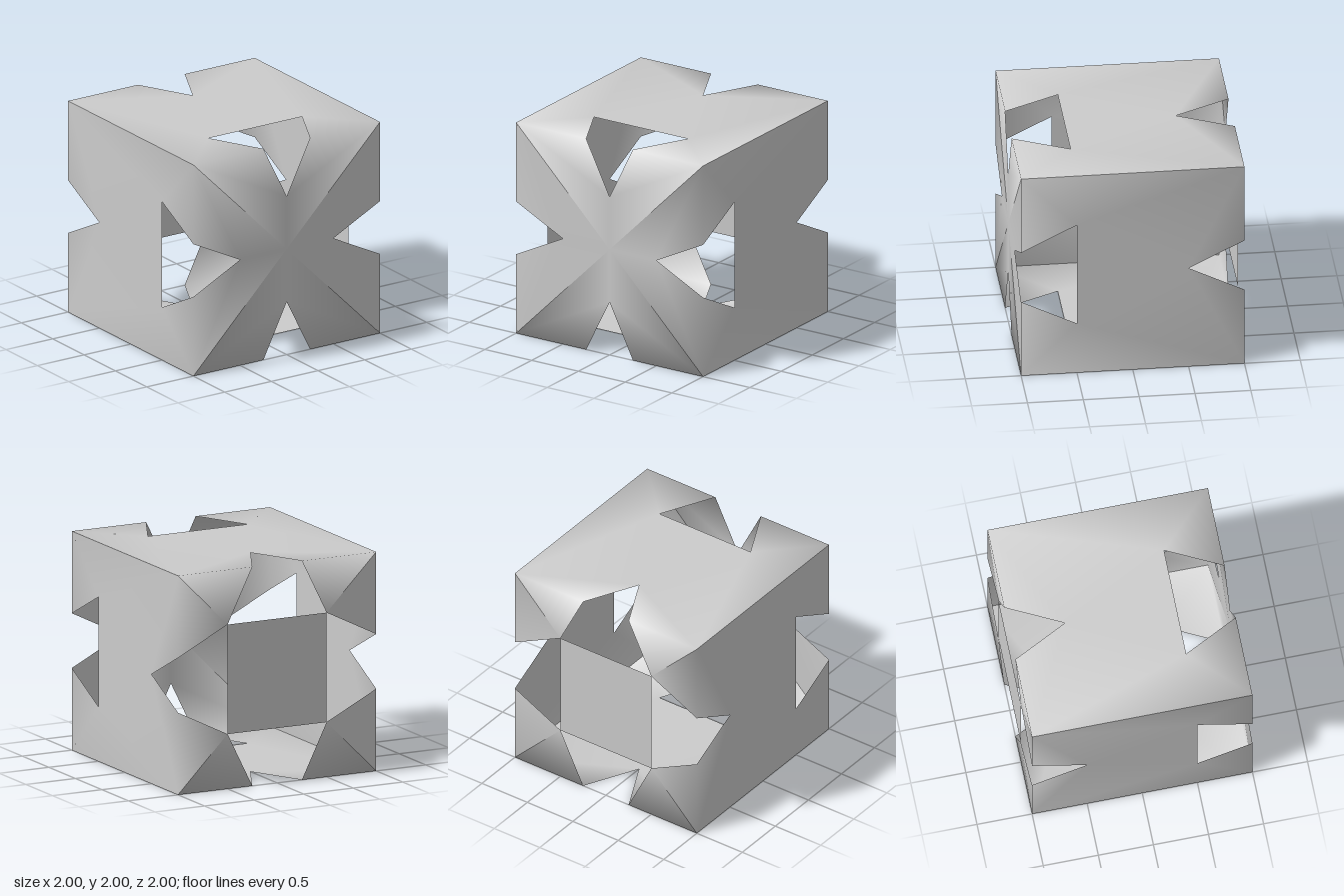
import * as THREE from 'three';

// One smooth panel: front triangle with a V notch, flat top, and two back flaps.
function panelGeometry() {
  // Points on the mirror plane: front centre, front notch tip, rear notch tip
  const points = [[0, 0, 1], [0, 0.5, 1], [0, 1, -0.5]];
  // Points of one half, mirrored in x
  const half = [
    [1, 1, 1],      // K front corner
    [0.25, 1, 1],   // N front notch edge
    [0.5, 1, 0.5],  // H top hole corner
    [1, 1, -1],     // B back corner
    [0.25, 1, -1],  // M back notch edge
    [0.5, 0.5, -1], // P back flap tip
  ];
  const index = [];
  for (const s of [1, -1]) {
    const [K, N, H, B, M, P] = half.map(([x, y, z]) => points.push([s * x, y, z]) - 1);
    const faces = [
      [0, K, 1], [1, K, N],                       // front
      [N, K, H], [K, B, H], [H, B, 2], [2, B, M], // top
      [B, P, M],                                  // back flap
    ];
    for (const [a, b, c] of faces) index.push(...(s > 0 ? [a, b, c] : [a, c, b]));
  }
  index.push(2, 11, 5); // middle of the top, between the notches

  const geometry = new THREE.BufferGeometry();
  geometry.setAttribute('position', new THREE.Float32BufferAttribute(points.flat(), 3));
  geometry.setIndex(index);
  geometry.computeVertexNormals();
  return geometry;
}

export function createModel() {
  const model = new THREE.Group();
  model.name = 'notchedCubeShell';
  const material = new THREE.MeshStandardMaterial({ color: 0xcccccc, side: THREE.DoubleSide });

  // Four identical panels turned about the front-to-back axis
  const geometry = panelGeometry();
  ['topPanel', 'rightPanel', 'bottomPanel', 'leftPanel'].forEach((name, i) => {
    const panel = new THREE.Mesh(geometry, material);
    panel.name = name;
    panel.position.y = 1;
    panel.rotation.z = (i * Math.PI) / 2;
    model.add(panel);
  });

  // Square plate held between the flap tips at the back
  const plate = new THREE.Mesh(new THREE.PlaneGeometry(1, 1), material);
  plate.name = 'backPlate';
  plate.position.set(0, 1, -1);
  plate.rotation.y = Math.PI;
  model.add(plate);

  return model;
}
